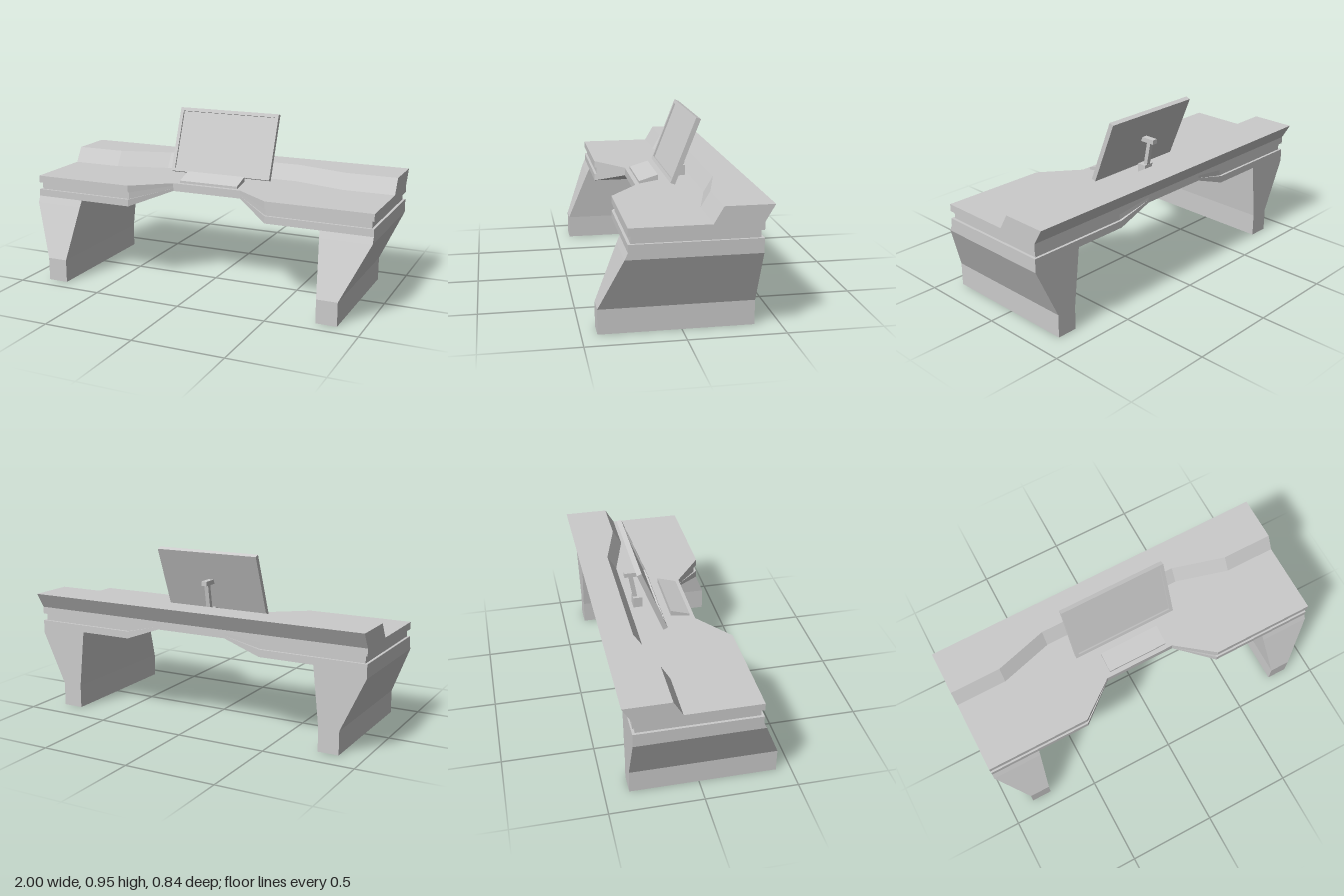
import * as THREE from 'three';

const material = new THREE.MeshStandardMaterial({ color: 0xcccccc, flatShading: true });

// Joins a row of matching rings of [x, y, z] corners into a closed solid.
function loft(name, rings) {
  const tris = [];
  const n = rings[0].length;
  for (let i = 0; i < rings.length - 1; i++) {
    for (let j = 0; j < n; j++) {
      const k = (j + 1) % n, a = rings[i], b = rings[i + 1];
      tris.push([a[j], a[k], b[k]], [a[j], b[k], b[j]]);
    }
  }
  const first = rings[0], last = rings[rings.length - 1];
  for (let j = 1; j < n - 1; j++) {
    tris.push([first[0], first[j + 1], first[j]], [last[0], last[j], last[j + 1]]);
  }
  // Turn the faces outward if the enclosed volume comes out negative.
  const v = (p) => new THREE.Vector3(...p);
  const volume = tris.reduce((s, [a, b, c]) => s + v(a).dot(v(b).cross(v(c))), 0);
  if (volume < 0) tris.forEach((t) => t.reverse());
  const geometry = new THREE.BufferGeometry();
  geometry.setAttribute('position', new THREE.Float32BufferAttribute(tris.flat(2), 3));
  geometry.computeVertexNormals();
  const mesh = new THREE.Mesh(geometry, material);
  mesh.name = name;
  return mesh;
}

// Solid running along x: profile(i) gives the [z, y] corners at station i.
const loftX = (name, stations, profile) =>
  loft(name, stations.map((x, i) => profile(i).map(([z, y]) => [x, y, z])));

function box(name, w, h, d, x, y, z) {
  const mesh = new THREE.Mesh(new THREE.BoxGeometry(w, h, d), material);
  mesh.name = name;
  mesh.position.set(x, y, z);
  return mesh;
}

// One layer of the worktop; all layers thin out toward the seat cut-out.
function topLayer(name, level, inset) {
  const top = 0.575, back = -0.37;
  const end = 1 - inset;
  return loftX(name, [-end, -0.41, -0.205, 0.205, 0.41, end], (i) => {
    const middle = i === 2 || i === 3;
    const step = middle ? 0.015 : 0.04;
    const d = middle ? 0 : inset;
    const front = (middle ? 0.13 : 0.287) - d;
    const y1 = top - step * level, y0 = y1 - step;
    return [[back + d, y0], [front, y0], [front, y1], [back + d, y1]];
  });
}

function leg(side) {
  // [height, inner x, outer x, front z]
  const levels = [
    [0, 0.75, 0.865, 0.42], [0.13, 0.75, 0.865, 0.42],
    [0.42, 0.719, 1, 0.303], [0.455, 0.715, 1, 0.287],
  ];
  return loft(side > 0 ? 'leftLeg' : 'rightLeg', levels.map(([y, a, b, f]) => [
    [side * a, y, -0.37], [side * b, y, -0.37], [side * b, y, f], [side * a, y, f],
  ]));
}

function createMonitor() {
  const monitor = new THREE.Group();
  monitor.name = 'monitor';
  const w = 0.61, h = 0.378, t = 0.027, rim = 0.02, recess = 0.01;
  // Bezel: a rectangle with a rectangular opening
  const shape = new THREE.Shape([[-w / 2, 0], [w / 2, 0], [w / 2, h], [-w / 2, h]]
    .map((p) => new THREE.Vector2(...p)));
  const a = w / 2 - rim;
  shape.holes.push(new THREE.Path([[-a, rim], [-a, h - rim], [a, h - rim], [a, rim]]
    .map((p) => new THREE.Vector2(...p))));
  const bezel = new THREE.Mesh(
    new THREE.ExtrudeGeometry(shape, { depth: t, bevelEnabled: false }), material);
  bezel.name = 'bezel';
  bezel.position.z = -t;
  const thickness = t - recess;
  monitor.add(bezel,
    box('screen', 2 * a, h - 2 * rim, thickness, 0, h / 2, -t + thickness / 2));
  monitor.position.set(0, 0.603, -0.045);
  monitor.rotation.x = -Math.atan2(0.138, 0.352);
  return monitor;
}

function createStand() {
  const stand = new THREE.Group();
  stand.name = 'monitorStand';
  stand.add(
    box('standBase', 0.06, 0.06, 0.05, 0, 0.605, -0.155),
    loftX('standPost', [-0.012, 0.012],
      () => [[-0.154, 0.63], [-0.178, 0.63], [-0.202, 0.768], [-0.178, 0.768]]),
    loftX('standBracket', [-0.016, 0.016],
      () => [[-0.137, 0.765], [-0.225, 0.765], [-0.225, 0.79], [-0.147, 0.79]]));
  return stand;
}

export function createModel() {
  const desk = new THREE.Group();
  desk.name = 'desk';

  // Worktop with a shadow groove between two boards
  desk.add(topLayer('topBoard', 0, 0), topLayer('groove', 1, 0.014), topLayer('lowerBoard', 2, 0));

  // Raised shelf along the back, set back in the middle
  desk.add(loftX('rearShelf', [-1, -0.71, -0.41, 0.41, 0.71, 1], (i) => {
    const shift = i === 2 || i === 3 ? 0.083 : 0;
    return [[-0.37, 0.575], [-0.12 - shift, 0.575], [-0.17 - shift, 0.66], [-0.42, 0.66]];
  }));

  desk.add(leg(1), leg(-1));

  // Keyboard: a sloping wedge
  desk.add(loftX('keyboard', [-0.175, 0.175],
    () => [[0.105, 0.574], [0.105, 0.588], [0, 0.62], [0, 0.591]]));

  desk.add(createMonitor(), createStand());
  return desk;
}
